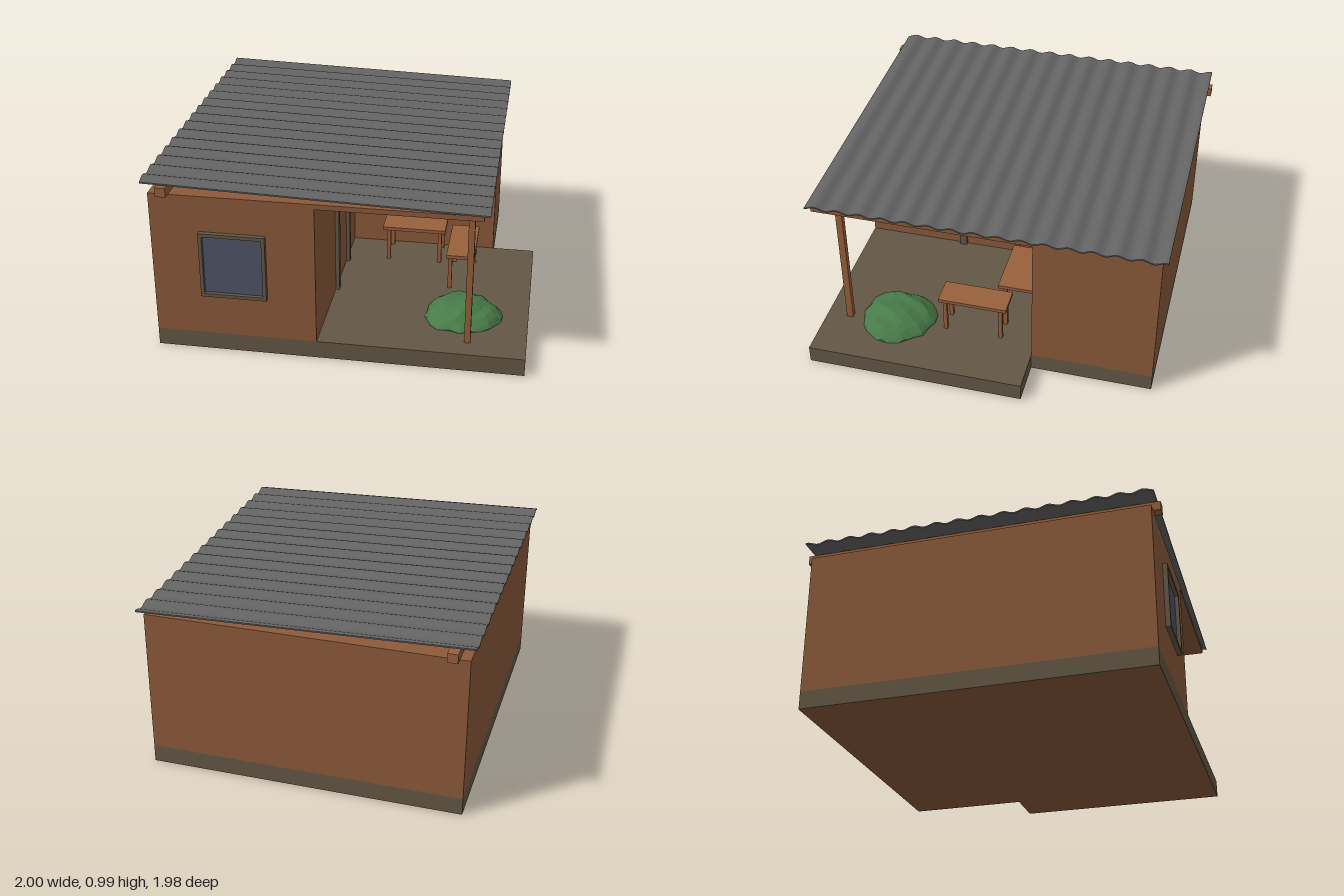
import * as THREE from 'three';

const mat = (name, color, extra = {}) => {
  const m = new THREE.MeshStandardMaterial({ color, ...extra });
  m.name = name;
  return m;
};

export function createModel() {
  const model = new THREE.Group();
  model.name = 'house';
  const clay = mat('clay wall', 0x8c5a3a);
  const wood = mat('wood', 0x98603c);
  const stone = mat('stone trim', 0x645846);
  const metal = mat('roof metal', 0x636363);
  const glass = mat('window glass', 0x4f5468);
  const leaf = mat('leaves', 0x487a48, { flatShading: true });

  const add = (name, geo, material, parent = model) => {
    const mesh = new THREE.Mesh(geo, material);
    mesh.name = name;
    parent.add(mesh);
    return mesh;
  };
  // Box given by its lower and upper limits on each axis
  const box = (name, [x0, x1], [y0, y1], [z0, z1], material, parent) => {
    const mesh = add(name, new THREE.BoxGeometry(x1 - x0, y1 - y0, z1 - z0), material, parent);
    mesh.position.set((x0 + x1) / 2, (y0 + y1) / 2, (z0 + z1) / 2);
    return mesh;
  };
  const group = (name) => {
    const g = new THREE.Group();
    g.name = name;
    model.add(g);
    return g;
  };
  // Floor plan of [x, z] points, raised from y0 to y1
  const planShape = (pts) => new THREE.Shape(pts.map(([x, z]) => new THREE.Vector2(x, -z)));
  const prism = (name, pts, y0, y1, material) => {
    const geo = new THREE.ExtrudeGeometry(planShape(pts), { depth: y1 - y0, bevelEnabled: false });
    geo.rotateX(-Math.PI / 2).translate(0, y0, 0);
    return add(name, geo, material);
  };

  // Foundation with the porch floor, and its underside
  const L = -0.97, R = 0.755, F = 0.945, B = -0.945, inX = -0.1, inZ = -0.27;
  const basePlan = [[L, F], [1, F], [1, inZ], [R, inZ], [R, B], [L, B]];
  prism('foundation', basePlan, 0.002, 0.1, stone);
  const under = new THREE.ShapeGeometry(planShape(basePlan)).rotateX(Math.PI / 2).scale(1, 1, -1);
  under.setIndex([...under.index.array].reverse());
  under.computeVertexNormals();
  under.setIndex([...under.index.array]);
  const underside = add('underside', under, clay);
  // Make sure the underside faces down
  if (under.attributes.normal.getY(0) > 0) {
    under.setIndex([...under.index.array].reverse());
    under.computeVertexNormals();
  }
  underside.position.y = 0;

  // L-shaped rooms and the slab that also covers the porch
  prism('walls', [[L, F], [inX, F], [inX, inZ], [R, inZ], [R, B], [L, B]], 0.1, 0.877, clay);
  box('ceilingSlab', [L, R], [0.877, 0.905], [B, F], clay);
  box('porchPost', [0.672, 0.705], [0.1, 0.877], [0.793, 0.83], wood);
  box('roofBeam', [-0.915, -0.86], [0.905, 0.955], [-0.99, 0.985], wood);

  // Sloping corrugated roof
  const wave = (z) => 0.0085 * Math.cos((2 * Math.PI * (z + 0.84)) / 0.125);
  const top = [], bottom = [], z0 = -0.975, z1 = 0.967, steps = 124;
  for (let i = 0; i <= steps; i++) {
    const z = z0 + ((z1 - z0) * i) / steps;
    top.push(new THREE.Vector2(-z, wave(z) + 0.004));
    bottom.unshift(new THREE.Vector2(-z, wave(z) - 0.004));
  }
  const roof = new THREE.ExtrudeGeometry(new THREE.Shape([...top, ...bottom]), { depth: 1.787, bevelEnabled: false });
  roof.rotateY(Math.PI / 2).translate(-1, 0, 0);
  const rp = roof.attributes.position;
  for (let i = 0; i < rp.count; i++) rp.setY(i, rp.getY(i) + 0.978 - 0.0302 * (rp.getX(i) + 1));
  roof.computeVertexNormals();
  add('corrugatedRoof', roof, metal);

  // Windows: raised frame around a thin pane
  const addWindow = (name, [x0, x1], [y0, y1], z) => {
    const g = group(name), t = 0.019;
    const s = planShape([[x0, -y0], [x1, -y0], [x1, -y1], [x0, -y1]]);
    s.holes.push(planShape([[x0 + t, -y0 - t], [x0 + t, -y1 + t], [x1 - t, -y1 + t], [x1 - t, -y0 - t]]));
    add('windowFrame', new THREE.ExtrudeGeometry(s, { depth: 0.026, bevelEnabled: false }), stone, g).position.z = z;
    box('windowPane', [x0 + t, x1 - t], [y0 + t, y1 - t], [z, z + 0.005], glass, g);
  };
  addWindow('frontWindow', [-0.71, -0.357], [0.335, 0.705], F);
  addWindow('porchWindow', [0.117, 0.54], [0.403, 0.692], inZ);

  // Door frame on the side wall of the porch
  const door = group('doorFrame');
  const dx = [inX, inX + 0.021];
  box('doorJamb', dx, [0.1, 0.7], [0.003, 0.035], stone, door);
  box('doorJamb', dx, [0.1, 0.7], [0.34, 0.382], stone, door);
  box('doorLintel', dx, [0.7, 0.735], [0.003, 0.382], stone, door);

  // Table and bench
  const addTable = (name, [x0, x1], [tz0, tz1], inset) => {
    const g = group(name), w = 0.022;
    box(name + 'Top', [x0, x1], [0.302, 0.322], [tz0, tz1], wood, g);
    for (const x of [x0 + inset, x1 - inset - w])
      for (const z of [tz0 + 0.024, tz1 - 0.024 - w])
        box(name + 'Leg', [x, x + w], [0.1, 0.302], [z, z + w], wood, g);
  };
  addTable('table', [0.113, 0.482], [-0.27, -0.01], 0.022);
  addTable('bench', [0.518, 0.676], [-0.105, 0.285], 0.01);

  // Low faceted bush
  const bush = new THREE.IcosahedronGeometry(1, 3);
  const p = bush.attributes.position;
  for (let i = 0; i < p.count; i++) {
    const x = p.getX(i), y = p.getY(i), z = p.getZ(i);
    const a = Math.atan2(z, x);
    const n = 1 + 0.05 * Math.sin(3 * a + 1) + 0.05 * Math.sin(7 * x + 5 * z + 2) * Math.cos(6 * z - 3 * x);
    const h = Math.max(y, 0);
    p.setXYZ(i, x * n * 0.215, Math.pow(h, 1.5) * 0.085 * (1 + 0.12 * Math.sin(9 * x + 4 * z)), z * n * 0.21);
  }
  bush.computeVertexNormals();
  add('bush', bush, leaf).position.set(0.64, 0.101, 0.535);

  return model;
}
